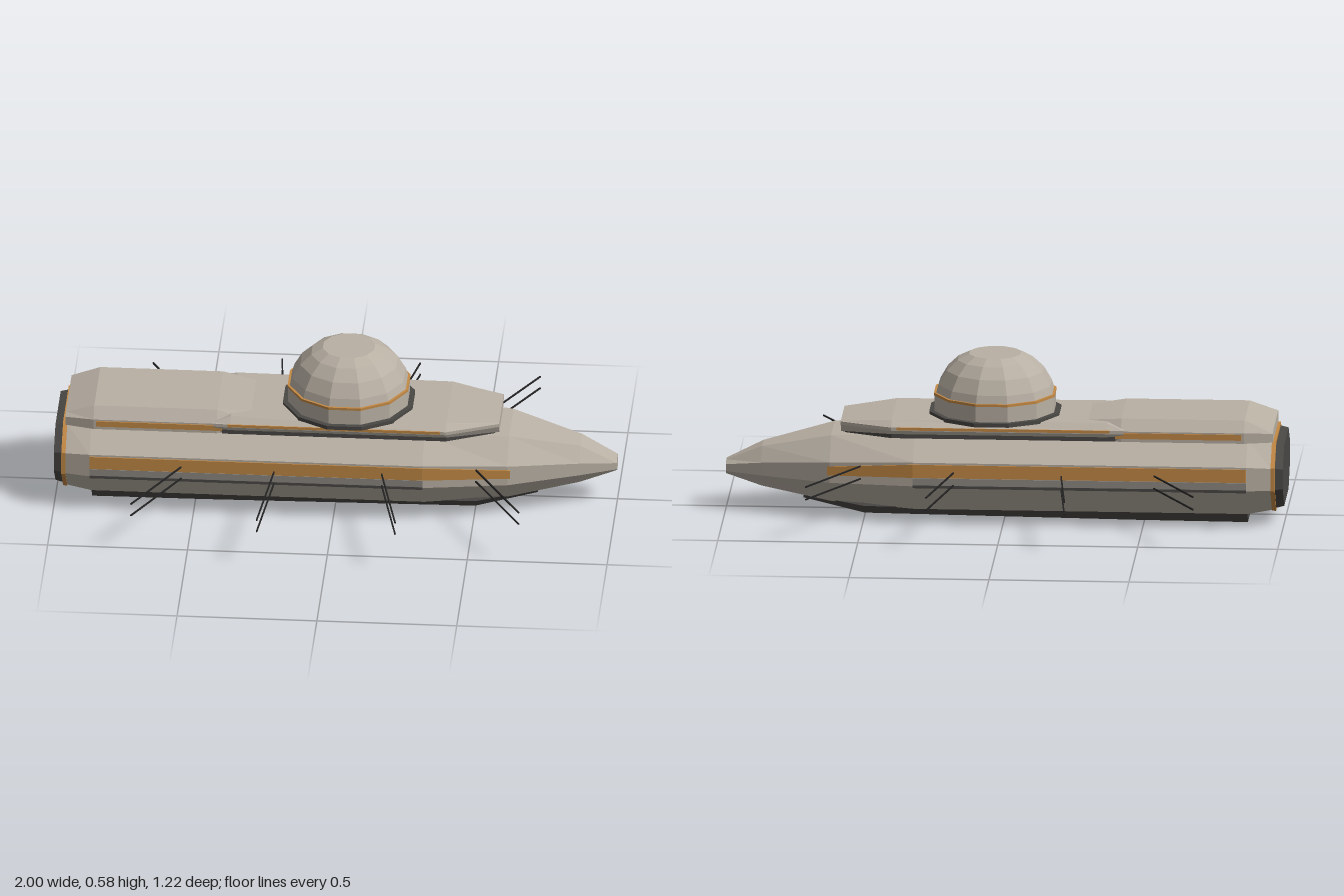
import * as THREE from 'three';

const mat = (name, color) => {
  const m = new THREE.MeshStandardMaterial({ color });
  m.name = name;
  return m;
};

export function createModel() {
  const hullGrey = mat('hull grey', 0xb9b0a4);
  const panelGrey = mat('panel grey', 0x8f8a84);
  const darkGrey = mat('dark grey', 0x4a4845);
  const amber = mat('amber', 0xc48a45);
  const black = mat('black', 0x222222);

  const model = new THREE.Group();
  model.name = 'submarineShip';

  const add = (name, geometry, material) => {
    const g = geometry.index ? geometry.toNonIndexed() : geometry;
    g.computeVertexNormals(); // faceted look
    const mesh = new THREE.Mesh(g, material);
    mesh.name = name;
    model.add(mesh);
    return mesh;
  };

  // Closed body along x. Each section is [x, half outline as [z, y] from top to bottom].
  const loft = (sections) => {
    const rings = sections.map(([x, half]) => [
      ...half.map(([z, y]) => [x, y, z]),
      ...[...half].reverse().map(([z, y]) => [x, y, -z]),
    ]);
    const n = rings[0].length, pos = [];
    const tri = (a, b, c) => pos.push(...a, ...b, ...c);
    for (let i = 0; i < rings.length - 1; i++) {
      for (let j = 0; j < n; j++) {
        const k = (j + 1) % n, A = rings[i], B = rings[i + 1];
        tri(A[j], A[k], B[k]);
        tri(A[j], B[k], B[j]);
      }
    }
    const first = rings[0], last = rings[rings.length - 1];
    for (let j = 1; j < n - 1; j++) {
      tri(first[0], first[j + 1], first[j]);
      tri(last[0], last[j], last[j + 1]);
    }
    const g = new THREE.BufferGeometry();
    g.setAttribute('position', new THREE.Float32BufferAttribute(pos, 3));
    return g;
  };

  // Eight-sided outline: width, top, upper side, lower side, bottom, flat top and bottom width
  const octagon = (w, top, hi, lo, bottom, flat) =>
    [[flat, top], [w, hi], [w, lo], [flat, bottom]];
  const band = (w, hi, lo) => [[w, hi], [w, lo]];

  // Main hull with pointed nose
  add('hull', loft([
    [-0.96, octagon(0.222, 0.303, 0.228, 0.148, 0.056, 0.135)],
    [-0.87, octagon(0.24, 0.312, 0.235, 0.148, 0.04, 0.142)],
    [0.32, octagon(0.24, 0.312, 0.235, 0.148, 0.04, 0.142)],
    [0.62, octagon(0.185, 0.297, 0.217, 0.142, 0.055, 0.105)],
    [0.87, octagon(0.087, 0.238, 0.187, 0.14, 0.092, 0.045)],
    [1.0, octagon(0.034, 0.179, 0.166, 0.141, 0.128, 0.014)],
  ]), hullGrey);

  // Stern plate and its trim
  add('sternPlate', loft([
    [-1.0, octagon(0.208, 0.293, 0.223, 0.15, 0.068, 0.125)],
    [-0.965, octagon(0.215, 0.3, 0.227, 0.148, 0.06, 0.13)],
  ]), darkGrey);
  add('sternTrim', loft([
    [-0.972, octagon(0.225, 0.311, 0.23, 0.146, 0.052, 0.135)],
    [-0.957, octagon(0.225, 0.311, 0.23, 0.146, 0.052, 0.135)],
  ]), amber);

  // Side bands, shown on both flanks
  add('sideStripes', loft([
    [-0.87, band(0.244, 0.228, 0.18)],
    [0.32, band(0.244, 0.228, 0.18)],
    [0.63, band(0.187, 0.202, 0.17)],
  ]), amber);
  add('sidePanels', loft([
    [-0.87, band(0.242, 0.178, 0.152)],
    [0.32, band(0.242, 0.178, 0.152)],
  ]), panelGrey);
  add('sideRails', loft([
    [-0.87, band(0.243, 0.152, 0.142)],
    [0.32, band(0.243, 0.152, 0.142)],
  ]), darkGrey);

  // Keel plate
  const keel = (w, bottom, top) =>
    [[w * 0.9, top], [w, (top + bottom) / 2 + 0.008], [w * 0.83, bottom]];
  add('keel', loft([
    [-0.87, keel(0.14, 0.004, 0.06)],
    [-0.48, keel(0.14, 0.006, 0.06)],
    [0.5, keel(0.135, 0.016, 0.06)],
    [0.72, keel(0.085, 0.058, 0.075)],
  ]), darkGrey);

  // Raised aft deck
  const aftDeck = (top, shoulder, flat, w) =>
    [[flat, top], [w, shoulder], [w, 0.308]];
  add('aftDeck', loft([
    [-0.962, aftDeck(0.352, 0.34, 0.138, 0.155)],
    [-0.86, aftDeck(0.385, 0.346, 0.145, 0.18)],
    [-0.42, aftDeck(0.385, 0.346, 0.145, 0.18)],
    [-0.3, aftDeck(0.372, 0.346, 0.115, 0.15)],
  ]), hullGrey);
  add('aftDeckStripes', loft([
    [-0.85, band(0.184, 0.341, 0.32)],
    [-0.4, band(0.184, 0.341, 0.32)],
  ]), amber);

  // Forward deck
  const foreDeck = (top, flat, w) =>
    [[flat, top], [w, 0.35], [w, 0.338], [w - 0.012, 0.312]];
  add('foreDeck', loft([
    [-0.43, foreDeck(0.352, 0.178, 0.186)],
    [-0.37, foreDeck(0.372, 0.165, 0.19)],
    [0.4, foreDeck(0.37, 0.158, 0.19)],
    [0.585, foreDeck(0.352, 0.105, 0.113)],
  ]), hullGrey);
  add('foreDeckStripes', loft([
    [-0.38, band(0.193, 0.351, 0.341)],
    [0.38, band(0.193, 0.351, 0.341)],
  ]), amber);
  add('foreDeckUnderside', loft([
    [-0.4, band(0.184, 0.326, 0.31)],
    [0.4, band(0.184, 0.326, 0.31)],
    [0.57, band(0.108, 0.326, 0.31)],
  ]), darkGrey);

  // Twelve-sided observation dome
  const drum = (name, r, y0, y1, material) => {
    const g = new THREE.CylinderGeometry(r, r, y1 - y0, 12);
    g.rotateY(Math.PI / 12);
    g.translate(0.04, (y0 + y1) / 2, 0);
    add(name, g, material);
  };
  drum('domePedestal', 0.175, 0.35, 0.37, darkGrey);
  drum('domeBaseRing', 0.24, 0.367, 0.381, darkGrey);
  drum('domeWall', 0.221, 0.381, 0.44, hullGrey);
  drum('domeTrim', 0.223, 0.438, 0.447, amber);
  const profile = [[0.215, 0.445], [0.206, 0.475], [0.177, 0.525], [0.137, 0.563], [0.095, 0.584], [0, 0.584]]
    .map(([r, y]) => new THREE.Vector2(r, y));
  const dome = new THREE.LatheGeometry(profile, 12);
  dome.rotateY(Math.PI / 12);
  dome.translate(0.04, 0, 0);
  add('dome', dome, hullGrey);

  // Paired side antennas: [root x, root z, tip x, tip z, height]
  const antennas = [
    [-0.53, 0.22, -0.70, 0.535, 0.2],
    [-0.208, 0.22, -0.245, 0.61, 0.193],
    [0.17, 0.22, 0.25, 0.605, 0.2],
    [0.5, 0.19, 0.685, 0.515, 0.21],
  ];
  for (const [x0, z0, x1, z1, y] of antennas) {
    for (const side of [1, -1]) {
      for (const drop of [0, 0.046]) {
        const a = new THREE.Vector3(x0, y - drop, z0 * side);
        const b = new THREE.Vector3(x1, y - drop, z1 * side);
        const rod = add('antenna', new THREE.BoxGeometry(0.005, 0.005, a.distanceTo(b)), black);
        rod.position.copy(a).lerp(b, 0.5);
        rod.lookAt(b);
      }
    }
  }
  return model;
}
